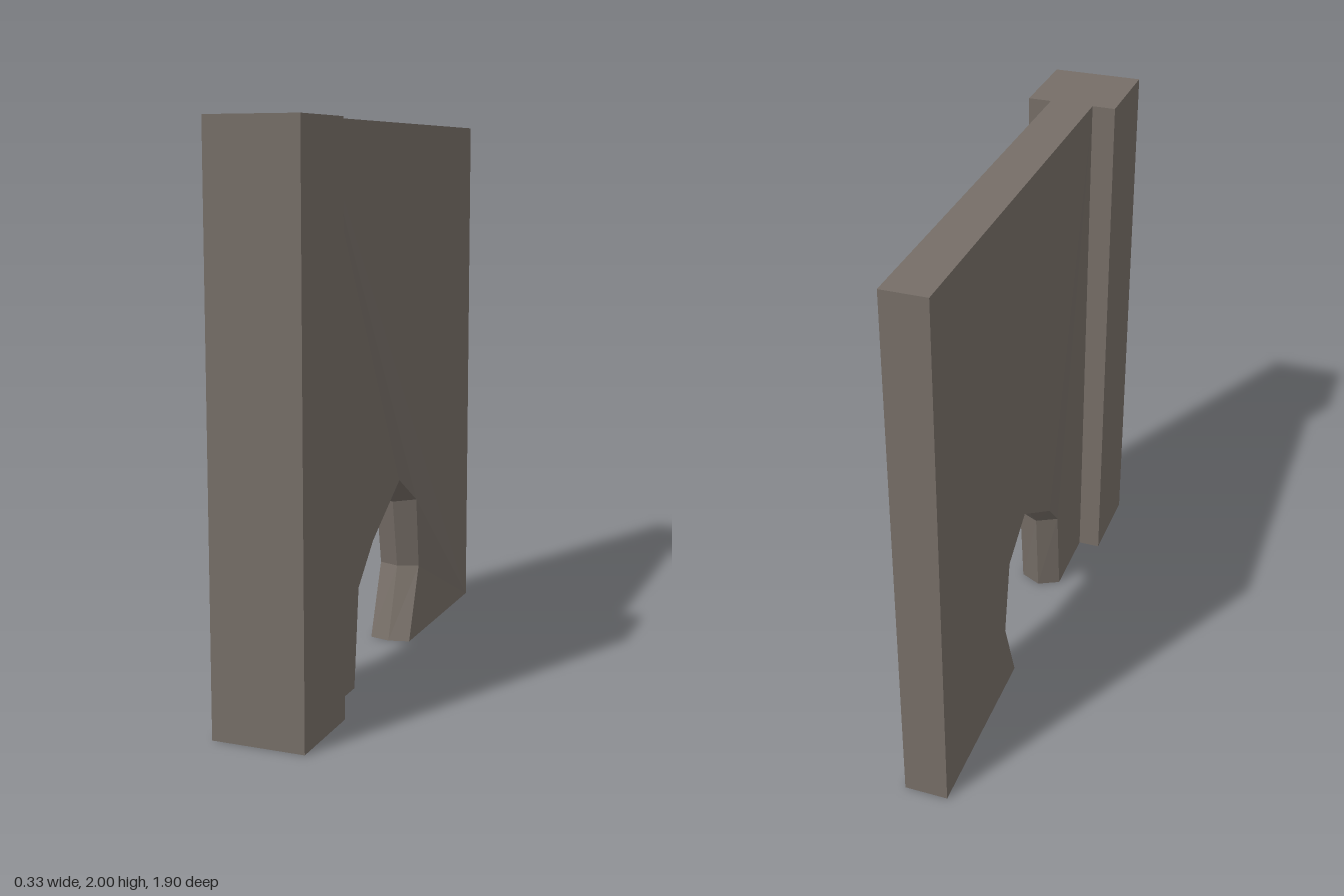
import * as THREE from 'three';

const THICK = 0.16;

// Broken opening, as [z, y] on the wall faces and on the ridge at mid thickness
const rim = [[0.33, 0], [0.29, 0.36], [0.15, 0.5], [-0.12, 0.67], [-0.29, 0.56], [-0.34, 0.28], [-0.235, 0]];
const ridge = [[0.29, 0], [0.255, 0.355], [0.15, 0.475], [-0.12, 0.635], [-0.26, 0.55], [-0.31, 0.28], [-0.215, 0]];

function wallGeometry() {
  const outline = [[0.62, 2], [0.62, 0], ...rim, [-0.95, 0], [-0.95, 2]];
  const shape = new THREE.Shape(outline.map(([z, y]) => new THREE.Vector2(-z, y)));
  const geo = new THREE.ExtrudeGeometry(shape, { depth: THICK, steps: 2, bevelEnabled: false });
  geo.translate(0, 0, -THICK / 2);
  geo.rotateY(Math.PI / 2);

  // Pull the middle of the opening inward to a ridge, and let two rim corners bulge
  const pos = geo.attributes.position;
  for (let i = 0; i < pos.count; i++) {
    const x = pos.getX(i), y = pos.getY(i), z = pos.getZ(i);
    const k = rim.findIndex(([rz, ry]) => Math.hypot(rz - z, ry - y) < 1e-4);
    if (k < 0) continue;
    if (Math.abs(x) < 0.01) pos.setXYZ(i, 0, ridge[k][1], ridge[k][0]);
    else if (k === 4 && x > 0) pos.setX(i, 0.087);
    else if (k === 2 && x < 0) pos.setX(i, -0.09);
  }
  geo.computeVertexNormals();
  return geo;
}

export function createModel() {
  const group = new THREE.Group();
  group.name = 'brokenWall';
  const stone = new THREE.MeshStandardMaterial({ color: 0x766e67 });
  stone.name = 'stone';

  // Wall panel with the jagged opening at its foot
  const wall = new THREE.Mesh(wallGeometry(), stone);
  wall.name = 'wallPanel';

  // Square pillar at the front end
  const pillar = new THREE.Mesh(new THREE.BoxGeometry(0.33, 2, 0.33), stone);
  pillar.name = 'pillar';
  pillar.position.set(0, 1, 0.785);

  group.add(wall, pillar);
  return group;
}
